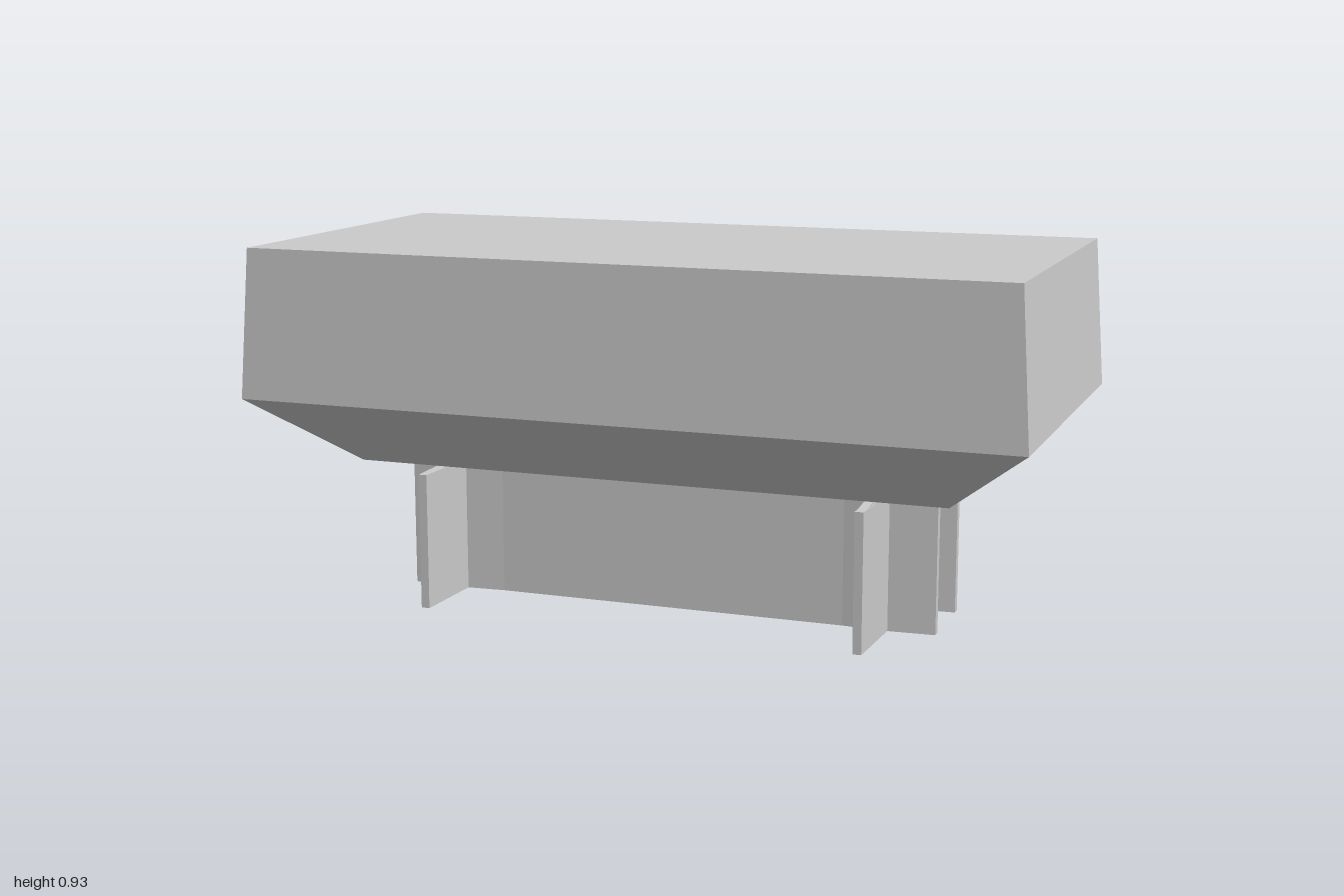
import * as THREE from 'three';

const grey = new THREE.MeshStandardMaterial({ color: 0xcccccc, flatShading: true });

function add(parent, name, geometry, x = 0, y = 0, z = 0) {
  const mesh = new THREE.Mesh(geometry, grey);
  mesh.name = name;
  mesh.position.set(x, y, z);
  parent.add(mesh);
  return mesh;
}

// Box with one middle row of vertices, each row set to its own height and half sizes
function bodyGeometry() {
  const rows = [
    { y: 0.362, x: 0.775, z: 0.275 },
    { y: 0.545, x: 1.0, z: 0.488 },
    { y: 0.928, x: 0.975, z: 0.477 },
  ];
  const geometry = new THREE.BoxGeometry(2, 2, 2, 1, 2, 1).toNonIndexed();
  const p = geometry.attributes.position;
  for (let i = 0; i < p.count; i++) {
    const row = rows[Math.round(p.getY(i)) + 1];
    p.setXYZ(i, p.getX(i) * row.x, row.y, p.getZ(i) * row.z);
  }
  geometry.computeVertexNormals();
  return geometry;
}

// Four-armed plan, arms widening a little towards the joint, raised to the given height
function jointGeometry(outX, outZ, height) {
  const e = 0.011, c = 0.018;
  const inX = -0.12, inZ = -0.1;
  const plan = [
    [outX, -e], [outX, e], [c, c], [e, outZ], [-e, outZ], [-c, c],
    [inX, e], [inX, -e], [-c, -c], [-e, inZ], [e, inZ], [c, -c],
  ];
  const shape = new THREE.Shape(plan.map(([x, y]) => new THREE.Vector2(x, y)));
  const geometry = new THREE.ExtrudeGeometry(shape, { depth: height, bevelEnabled: false });
  return geometry.rotateX(-Math.PI / 2);
}

export function createModel() {
  const model = new THREE.Group();
  add(model, 'body', bodyGeometry());

  // Interlocking stand of upright boards
  const stand = new THREE.Group();
  stand.name = 'stand';
  model.add(stand);
  const height = 0.35, jx = 0.574, jz = 0.105;
  for (const sz of [1, -1]) {
    add(stand, 'longBoard', new THREE.BoxGeometry(2 * jx - 0.2, height, 0.022), 0, height / 2, sz * jz);
    for (const sx of [1, -1]) {
      // Opposite corners are half turns, the other two are turned quarter-wise with swapped arms
      const straight = sx * sz < 0;
      const joint = straight
        ? jointGeometry(0.138, 0.232, height)
        : jointGeometry(0.232, 0.138, height);
      const turn = { '1,-1': 0, '-1,-1': Math.PI / 2, '-1,1': Math.PI, '1,1': -Math.PI / 2 }[`${sx},${sz}`];
      add(stand, 'boardJoint', joint, sx * jx, 0, sz * jz).rotation.y = turn;
    }
  }
  for (const sx of [1, -1]) {
    add(stand, 'crossBoard', new THREE.BoxGeometry(0.022, height, 2 * jz - 0.04), sx * jx, height / 2, 0);
  }

  // Sloped strip on one board that reaches the underside of the body
  const slope = new THREE.Shape([
    new THREE.Vector2(0.335, 0.346), new THREE.Vector2(0.2, 0.364),
    new THREE.Vector2(0.1, 0.364), new THREE.Vector2(0.08, 0.346),
  ]);
  const strip = new THREE.ExtrudeGeometry(slope, { depth: 0.022, bevelEnabled: false });
  strip.rotateY(-Math.PI / 2);
  add(stand, 'supportStrip', strip, jx + 0.011, 0, 0);

  return model;
}
